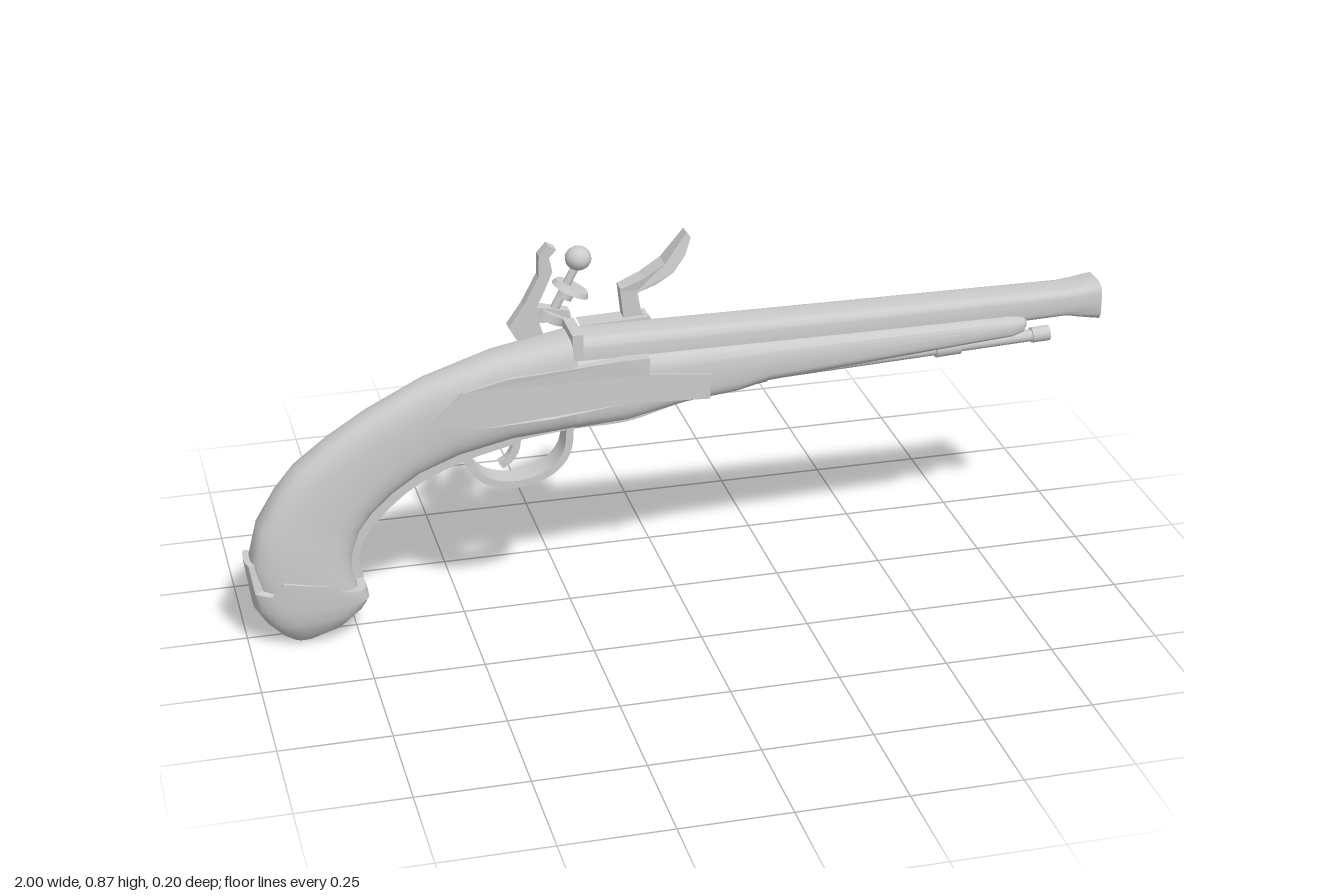
import * as THREE from 'three';
import { toCreasedNormals } from 'three/addons/utils/BufferGeometryUtils.js';

const ZC = 0.017;   // centre plane of stock and barrel
const ZL = -0.06;   // centre plane of the lock parts
const material = new THREE.MeshStandardMaterial({ color: 0xcccccc, side: THREE.DoubleSide });

// Loft through stations [topX, topY, bottomX, bottomY, halfWidth, squareness, optional lift(c)].
function loft(stations, sides = 28, crease = 0.6) {
  const pos = [], idx = [];
  const curve = (v, n) => Math.sign(v) * Math.pow(Math.abs(v), 2 / n);
  for (const [ax, ay, bx, by, w, n = 3, lift] of stations) {
    for (let j = 0; j < sides; j++) {
      const t = (j / sides) * Math.PI * 2;
      const c = curve(Math.cos(t), n), s = curve(Math.sin(t), n);
      pos.push((ax + bx) / 2 + c * (ax - bx) / 2,
        (ay + by) / 2 + c * (ay - by) / 2 + (lift ? lift(c) : 0), ZC + s * w);
    }
  }
  const last = stations.length - 1;
  for (let i = 0; i < last; i++) {
    for (let j = 0; j < sides; j++) {
      const a = i * sides + j, b = i * sides + (j + 1) % sides;
      idx.push(a, b, a + sides, b, b + sides, a + sides);
    }
  }
  for (const i of [0, last]) {
    const [ax, ay, bx, by] = stations[i];
    const centre = pos.length / 3;
    pos.push((ax + bx) / 2, (ay + by) / 2, ZC);
    for (let j = 0; j < sides; j++) {
      const a = i * sides + j, b = i * sides + (j + 1) % sides;
      idx.push(centre, ...(i === 0 ? [b, a] : [a, b]));
    }
  }
  const g = new THREE.BufferGeometry();
  g.setAttribute('position', new THREE.Float32BufferAttribute(pos, 3));
  g.setIndex(idx);
  return toCreasedNormals(g, crease);
}

// Flat outline in the side plane, extruded from z0 to z1.
function slab(points, z0, z1) {
  const shape = new THREE.Shape(points.map(([x, y]) => new THREE.Vector2(x, y)));
  return new THREE.ExtrudeGeometry(shape, { depth: z1 - z0, bevelEnabled: false }).translate(0, 0, z0);
}

// Flat band of a given thickness following a smooth path in the side plane.
function band(points, thickness, width, steps = 24) {
  const path = new THREE.CatmullRomCurve3(points.map(([x, y]) => new THREE.Vector3(x, y, 0)));
  const up = [], down = [];
  for (let i = 0; i <= steps; i++) {
    const p = path.getPoint(i / steps), t = path.getTangent(i / steps);
    up.push([p.x - t.y * thickness / 2, p.y + t.x * thickness / 2]);
    down.unshift([p.x + t.y * thickness / 2, p.y - t.x * thickness / 2]);
  }
  return toCreasedNormals(slab([...up, ...down], ZC - width / 2, ZC + width / 2), 0.6);
}

// Cylinder between two points in the side plane.
function rod(x0, y0, x1, y1, r0, r1, z, sides = 16) {
  const g = new THREE.CylinderGeometry(r1, r0, Math.hypot(x1 - x0, y1 - y0), sides);
  return g.rotateZ(Math.atan2(y1 - y0, x1 - x0) - Math.PI / 2)
    .translate((x0 + x1) / 2, (y0 + y1) / 2, z);
}

export function createModel() {
  const model = new THREE.Group();
  const add = (name, geometry) => {
    const m = new THREE.Mesh(geometry, material);
    m.name = name;
    model.add(m);
    return m;
  };

  // Wooden stock: curved grip, lock section and tapering fore-end
  add('stock', loft([
    [-0.97, 0.12, -0.745, 0.12, 0.06, 3],
    [-0.988, 0.21, -0.757, 0.17, 0.062, 3],
    [-0.965, 0.3, -0.752, 0.215, 0.058, 3],
    [-0.92, 0.375, -0.735, 0.265, 0.056, 3],
    [-0.875, 0.43, -0.705, 0.305, 0.054, 3],
    [-0.8, 0.488, -0.655, 0.35, 0.052, 3],
    [-0.71, 0.545, -0.595, 0.39, 0.051, 3],
    [-0.58, 0.61, -0.505, 0.425, 0.053, 3],
    [-0.42, 0.658, -0.385, 0.455, 0.061, 3.4],
    [-0.25, 0.685, -0.25, 0.47, 0.07, 4],
    [-0.24, 0.645, -0.24, 0.47, 0.071, 4],
    [-0.126, 0.643, -0.126, 0.478, 0.072, 4],
    [0.01, 0.642, 0.01, 0.508, 0.073, 4],
    [0.13, 0.641, 0.13, 0.522, 0.073, 4],
    [0.2, 0.64, 0.2, 0.54, 0.073, 4],
    [0.78, 0.637, 0.78, 0.588, 0.072, 4],
    [0.81, 0.633, 0.81, 0.593, 0.06, 4],
    [0.82, 0.625, 0.82, 0.6, 0.045, 4],
  ]));

  // Butt cap with a scalloped upper rim
  const rim = c => (c > 0.9 ? 0.03 : c > 0.5 ? -0.035 : c > -0.5 ? 0.0 : -0.015);
  add('buttCap', loft([
    [-0.9, 0.005, -0.845, 0.006, 0.025, 2.6],
    [-0.925, 0.025, -0.78, 0.038, 0.05, 3],
    [-0.958, 0.06, -0.738, 0.075, 0.063, 3.2],
    [-0.985, 0.105, -0.722, 0.1, 0.067, 3.4],
    [-1.0, 0.19, -0.728, 0.14, 0.068, 3.4, rim],
    [-0.99, 0.19, -0.74, 0.14, 0.06, 3.4, rim],
  ]));

  // Barrel with flared muzzle and hollow bore
  add('barrel', loft([
    [-0.24, 0.688, -0.24, 0.59, 0.05, 4.5],
    [0.4, 0.684, 0.4, 0.6, 0.049, 4.5],
    [0.92, 0.682, 0.92, 0.615, 0.046, 4],
    [0.955, 0.686, 0.955, 0.608, 0.048, 4],
    [1, 0.693, 1, 0.6, 0.05, 4],
    [1, 0.678, 1, 0.613, 0.036, 4],
    [0.85, 0.675, 0.85, 0.618, 0.034, 4],
  ]));
  add('breechBlock', new THREE.BoxGeometry(0.025, 0.1, 0.1).translate(-0.237, 0.651, ZC));

  // Matching plates on both sides, narrowing with the stock toward the rear
  const outline = [[-0.57, 0.525], [-0.5, 0.595], [-0.4, 0.62], [-0.13, 0.64], [-0.08, 0.64],
    [-0.08, 0.6], [0.06, 0.585], [0.06, 0.525], [-0.13, 0.535], [-0.3, 0.515], [-0.47, 0.505]];
  for (const side of [1, -1]) {
    const g = slab(outline, -0.5, 0.5);
    const p = g.attributes.position;
    for (let i = 0; i < p.count; i++) {
      const outer = 0.077 - 0.017 * THREE.MathUtils.clamp((-0.25 - p.getX(i)) / 0.32, 0, 1);
      const isOuter = p.getZ(i) * side > 0;
      p.setZ(i, ZC + side * (isOuter ? outer : 0.03));
    }
    g.computeVertexNormals();
    add(side > 0 ? 'sidePlate' : 'lockPlate', g);
  }

  // Cock: round base, curved neck, lower jaw and upright spur
  add('cockBase', new THREE.CylinderGeometry(0.055, 0.055, 0.035, 20)
    .rotateX(Math.PI / 2).translate(-0.305, 0.57, ZL - 0.002));
  add('cockNeck', slab([[-0.35, 0.58], [-0.345, 0.64], [-0.37, 0.685], [-0.335, 0.735], [-0.3, 0.8],
    [-0.298, 0.85], [-0.277, 0.873], [-0.258, 0.862], [-0.275, 0.845], [-0.268, 0.81], [-0.285, 0.77],
    [-0.305, 0.728], [-0.23, 0.712], [-0.225, 0.685], [-0.3, 0.69], [-0.285, 0.64], [-0.26, 0.58]],
  ZL - 0.014, ZL + 0.014));
  add('lowerJaw', rod(-0.275, 0.692, -0.266, 0.71, 0.035, 0.035, ZL));
  add('jawScrew', rod(-0.27, 0.7, -0.206, 0.825, 0.011, 0.009, ZL, 12));
  add('upperJaw', rod(-0.226, 0.757, -0.221, 0.767, 0.045, 0.04, ZL));
  add('screwCollar', rod(-0.24, 0.74, -0.23, 0.758, 0.018, 0.018, ZL));
  add('screwKnob', new THREE.SphereGeometry(0.03, 18, 12).scale(1, 0.92, 1).translate(-0.206, 0.832, ZL));

  // Pan and frizzen
  add('pan', slab([[-0.21, 0.68], [-0.05, 0.685], [-0.04, 0.65], [-0.08, 0.61], [-0.16, 0.62]],
    -0.08, -0.03));
  add('frizzenFoot', slab([[-0.1, 0.62], [-0.115, 0.757], [-0.075, 0.745], [-0.065, 0.69], [-0.04, 0.67],
    [-0.05, 0.62]], ZL - 0.016, ZL + 0.016));
  const face = slab([[-0.115, 0.752], [-0.06, 0.775], [-0.012, 0.805], [0.015, 0.84], [0.04, 0.873],
    [0.05, 0.86], [0.035, 0.82], [0.008, 0.783], [-0.03, 0.757], [-0.085, 0.735]], -0.5, 0.5);
  const fp = face.attributes.position;
  for (let i = 0; i < fp.count; i++) {
    const half = 0.026 - 0.011 * Math.min(1, Math.abs(fp.getY(i) - 0.795) / 0.075);
    fp.setZ(i, ZL - 0.003 + Math.sign(fp.getZ(i)) * half);
  }
  face.computeVertexNormals();
  add('frizzenFace', face);
  add('frizzenScrew', new THREE.CylinderGeometry(0.01, 0.01, 0.05, 12)
    .rotateX(Math.PI / 2).translate(-0.075, 0.648, ZL));

  // Trigger, guard and the strap running down the grip
  add('triggerGuard', band([[-0.5, 0.435], [-0.475, 0.385], [-0.44, 0.354], [-0.375, 0.34], [-0.3, 0.362],
    [-0.262, 0.405], [-0.252, 0.475]], 0.017, 0.058));
  add('gripStrap', band([[-0.745, 0.15], [-0.753, 0.205], [-0.73, 0.265], [-0.65, 0.348],
    [-0.59, 0.386], [-0.5, 0.423], [-0.38, 0.453]], 0.022, 0.058));
  add('guardTang', band([[-0.39, 0.454], [-0.25, 0.469], [-0.12, 0.474], [-0.01, 0.502]], 0.016, 0.05));
  add('trigger', band([[-0.37, 0.47], [-0.375, 0.42], [-0.39, 0.395], [-0.41, 0.382]], 0.018, 0.02, 10));

  // Ramrod with its holders
  add('ramrod', rod(0.12, 0.53, 0.88, 0.562, 0.013, 0.014, ZC));
  add('ramrodTip', rod(0.85, 0.561, 0.893, 0.563, 0.018, 0.018, ZC));
  add('rearPipe', rod(0.13, 0.525, 0.21, 0.535, 0.02, 0.018, ZC));
  add('frontPipe', rod(0.615, 0.553, 0.675, 0.556, 0.021, 0.021, ZC));
  add('pipeMount', new THREE.BoxGeometry(0.05, 0.035, 0.016).translate(0.645, 0.575, ZC));

  return model;
}
